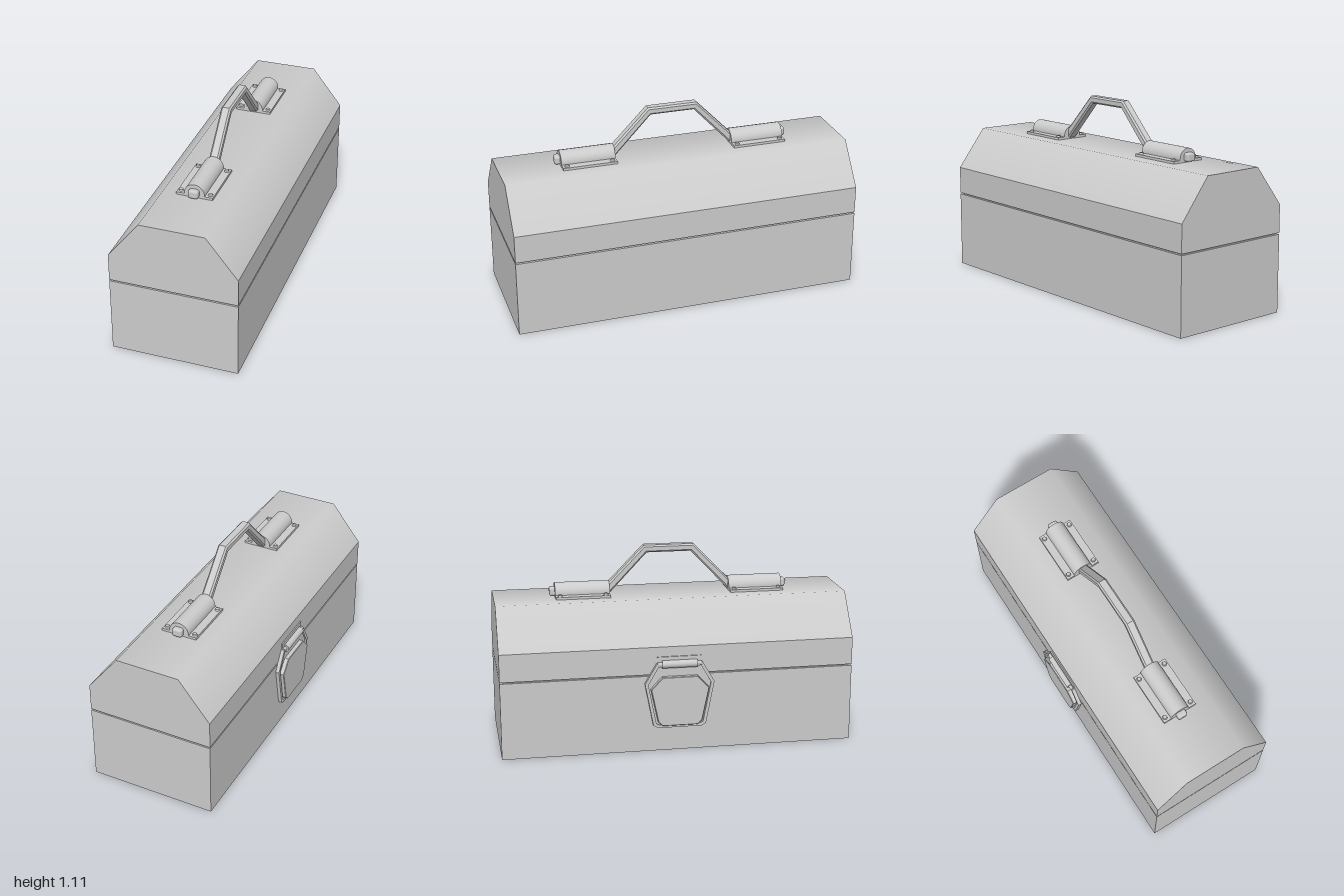
import * as THREE from 'three';
import { RoundedBoxGeometry } from 'three/addons/geometries/RoundedBoxGeometry.js';

const CX = 0.0165; // centre line of the case in x
const WALL = -0.345; // wall that carries the latch
const mat = new THREE.MeshStandardMaterial({ color: 0xcccccc });

function add(parent, name, geometry, x = 0, y = 0, z = 0) {
  const mesh = new THREE.Mesh(geometry, mat);
  mesh.name = name;
  mesh.position.set(x, y, z);
  parent.add(mesh);
  return mesh;
}

const shapeOf = (pts) => new THREE.Shape(pts.map(([a, b]) => new THREE.Vector2(a, b)));

// Extrudes a (z, y) outline towards -x, optionally with a bevel inside the given depth
function extrudeSide(shape, depth, bevel = 0) {
  return new THREE.ExtrudeGeometry(shape, {
    depth: depth - 2 * bevel, bevelEnabled: bevel > 0, bevelSize: bevel,
    bevelThickness: bevel, bevelOffset: -bevel, bevelSegments: 1, curveSegments: 16,
  }).translate(0, 0, bevel).rotateY(-Math.PI / 2);
}

// Completes half an outline (z >= 0, bottom to top) by mirroring it
const mirrored = (half) => shapeOf([...half, ...half.slice().reverse().map(([z, y]) => [-z, y])]);

function buildCase(group) {
  add(group, 'lowerBox', new THREE.BoxGeometry(0.725, 0.442, 2), CX, 0.221, 0);
  add(group, 'seamLip', new THREE.BoxGeometry(0.695, 0.04, 1.97), CX, 0.446, 0);

  const lid = new THREE.ExtrudeGeometry(
    shapeOf([[-0.3625, 0.45], [0.3625, 0.45], [0.3625, 0.608], [0.1835, 0.835], [-0.1835, 0.835], [-0.3625, 0.608]]),
    { depth: 2, bevelEnabled: false }).translate(0, 0, -1);
  // Soft shading across the two roof bends
  const p = lid.attributes.position, n = lid.attributes.normal;
  for (let i = 0; i < p.count; i++) {
    if (p.getY(i) > 0.83 && n.getY(i) > 0.1) n.setXYZ(i, 0.38 * Math.sign(p.getX(i)), 0.925, 0);
  }
  add(group, 'lid', lid, CX);
}

function buildHandle(group) {
  const handle = new THREE.Group();
  handle.name = 'handle';
  group.add(handle);

  // Bent grip
  const outer = [[0.40, 0.888], [0.362, 0.888], [0.143, 1.112]];
  const inner = [[0.40, 0.842], [0.343, 0.842], [0.127, 1.070]];
  const flip = (pts) => pts.slice().reverse().map(([z, y]) => [-z, y]);
  const grip = shapeOf([...flip(inner).reverse(), ...inner.slice().reverse(), ...outer, ...flip(outer)]);
  add(handle, 'grip', extrudeSide(grip, 0.056, 0.009), CX + 0.027);

  for (const s of [-1, 1]) {
    const mount = new THREE.Group();
    mount.name = 'handleMount';
    mount.position.set(CX - 0.001, 0, s * 0.5);
    handle.add(mount);
    add(mount, 'mountPlate', new THREE.BoxGeometry(0.206, 0.014, 0.31), 0, 0.842, 0);

    // Half-round sleeve over the pivot
    const arch = new THREE.Shape();
    arch.moveTo(0.057, 0.84);
    arch.lineTo(0.057, 0.855);
    arch.absarc(0, 0.855, 0.057, 0, Math.PI, false);
    arch.lineTo(-0.057, 0.84);
    add(mount, 'sleeve', new THREE.ExtrudeGeometry(arch, { depth: 0.31, bevelEnabled: false, curveSegments: 24 })
      .translate(0, 0, -0.155));

    add(mount, 'pivotEnd', new RoundedBoxGeometry(0.056, 0.048, 0.08, 3, 0.012), 0, 0.864, s * 0.145);
    for (const x of [-1, 1]) for (const z of [-1, 1]) {
      add(mount, 'rivet', new THREE.CylinderGeometry(0.011, 0.014, 0.01, 12), x * 0.083, 0.853, z * 0.13);
    }
  }
}

function buildLatch(group) {
  const latch = new THREE.Group();
  latch.name = 'latch';
  latch.position.x = WALL;
  group.add(latch);

  // Backing plate with a raised rim
  const plate = mirrored([[0.125, 0.14], [0.15, 0.155], [0.197, 0.40], [0.13, 0.515]]);
  add(latch, 'latchPlate', extrudeSide(plate, 0.012));
  const rim = plate.clone();
  rim.holes.push(new THREE.Path(
    mirrored([[0.118, 0.157], [0.133, 0.165], [0.178, 0.395], [0.12, 0.497]]).getPoints().reverse()));
  add(latch, 'latchRim', extrudeSide(rim, 0.021));

  // Raised cover
  const cover = mirrored([[0.1, 0.155], [0.125, 0.18], [0.165, 0.37], [0.1, 0.44]]);
  add(latch, 'latchCover', extrudeSide(cover, 0.037, 0.003));

  // Hinge barrel and its wall bracket
  add(latch, 'hingeBarrel', new THREE.CylinderGeometry(0.022, 0.022, 0.2, 20).rotateX(Math.PI / 2), -0.013, 0.51, 0);
  add(latch, 'hingeBracket', new THREE.BoxGeometry(0.008, 0.06, 0.25), -0.004, 0.522, 0);
  for (const s of [-1, 1]) {
    add(latch, 'hingePin', new THREE.CylinderGeometry(0.012, 0.012, 0.025, 12).rotateX(Math.PI / 2), -0.013, 0.51, s * 0.112);
  }
}

export function createModel() {
  const group = new THREE.Group();
  group.name = 'toolbox';
  buildCase(group);
  buildHandle(group);
  buildLatch(group);
  return group;
}
